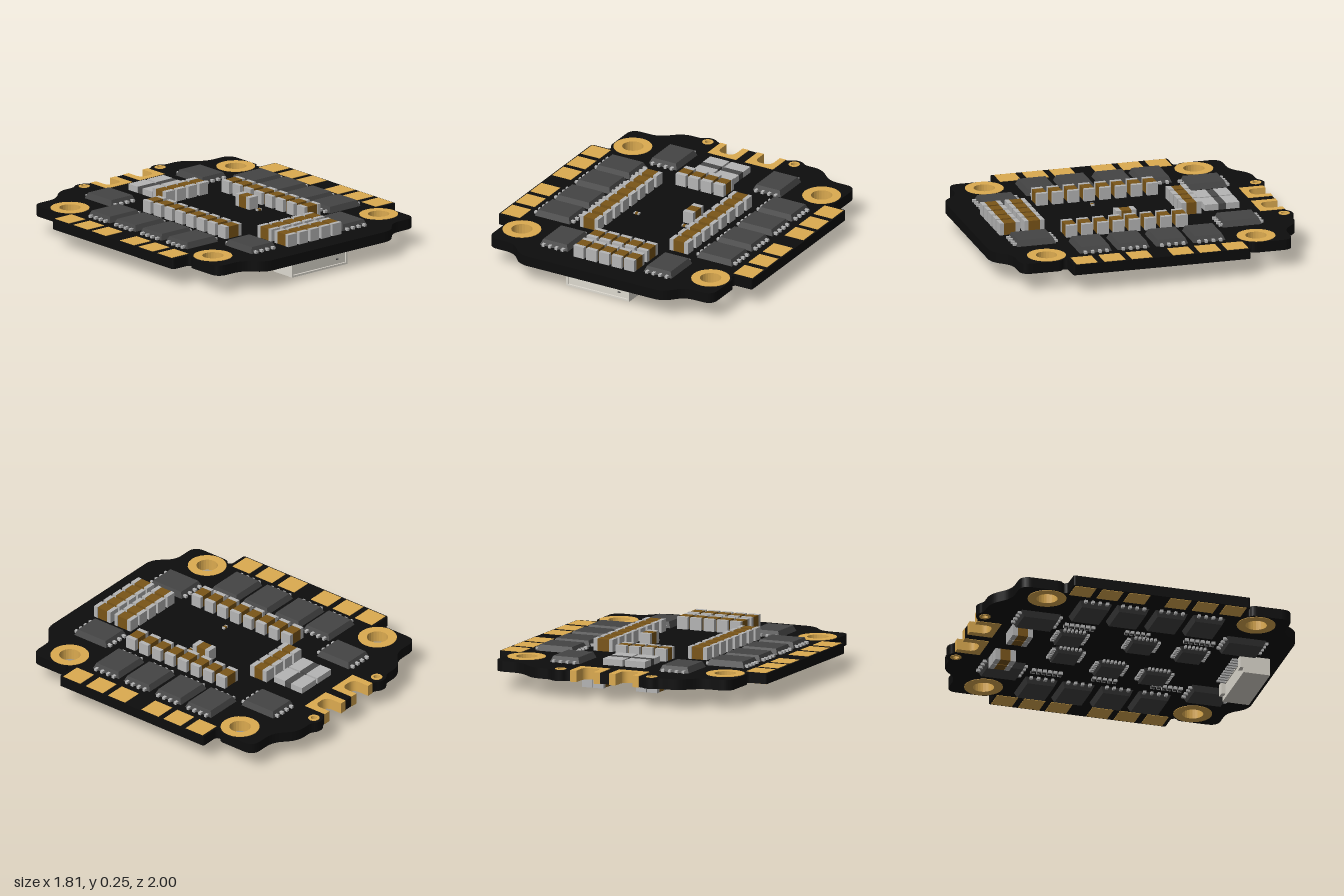
import * as THREE from 'three';

const mat = (color) => new THREE.MeshStandardMaterial({ color, flatShading: true });
const M = {
  board: mat(0x0d0d0d), gold: mat(0xdcab50), chip: mat(0x444444), dark: mat(0x4a4a4a),
  metal: mat(0xb5b5b5), brown: mat(0x7a5518), plastic: mat(0xdedad0),
};
const BOT = 0.112, TOP = 0.178;

function mesh(parent, name, geo, material, x = 0, y = 0, z = 0) {
  const m = new THREE.Mesh(geo, material);
  m.name = name;
  m.position.set(x, y, z);
  parent.add(m);
  return m;
}
const box = (parent, name, material, w, h, d, x, y, z) =>
  mesh(parent, name, new THREE.BoxGeometry(w, h, d), material, x, y, z);

// Closed outline from [x, z, cornerRadius] points
function rounded(points) {
  const s = new THREE.Shape(), n = points.length;
  const v = points.map(([x, z]) => new THREE.Vector2(x, -z));
  for (let i = 0; i < n; i++) {
    const p = v[i], r = points[i][2] || 0;
    const toward = (q) => p.clone().add(q.clone().sub(p).setLength(Math.min(r, p.distanceTo(q) * 0.5)));
    const a = r ? toward(v[(i + n - 1) % n]) : p, b = r ? toward(v[(i + 1) % n]) : p;
    if (i) s.lineTo(a.x, a.y); else s.moveTo(a.x, a.y);
    if (r) s.quadraticCurveTo(p.x, p.y, b.x, b.y);
  }
  s.closePath();
  return s;
}
function slab(shape, y0, y1) {
  const g = new THREE.ExtrudeGeometry(shape, { depth: y1 - y0, bevelEnabled: false, curveSegments: 12 });
  return g.rotateX(-Math.PI / 2).translate(0, y0, 0);
}
function circle(x, z, r, Type = THREE.Path) {
  const p = new Type();
  p.absarc(x, -z, r, 0, Math.PI * 2, false);
  return p;
}

// Parts below stand on local y = 0 of one board face
function capacitor(parent, x, z, w, d, h, alongX, middle = M.brown, endShare = 0.25) {
  const g = new THREE.Group();
  g.name = 'capacitor';
  const len = alongX ? w : d, wid = alongX ? d : w, e = len * endShare;
  box(g, 'capacitorBody', middle, len - 2 * e, h * 0.98, wid * 0.97, 0, h * 0.49, 0);
  for (const s of [-1, 1]) box(g, 'capacitorEnd', M.metal, e, h, wid, s * (len - e) / 2, h / 2, 0);
  g.position.set(x, 0, z);
  if (!alongX) g.rotation.y = Math.PI / 2;
  parent.add(g);
}

function chip(parent, x, z, w, d, { h = 0.037, pins = 4, pitch = 0.046, pinAxis = 'x', allSides = false } = {}) {
  const g = new THREE.Group();
  g.name = 'chip';
  const body = new THREE.BoxGeometry(w, h, d), p = body.attributes.position;
  // Draw the upper corners in for the moulded slope
  for (let i = 0; i < p.count; i++) if (p.getY(i) > 0) {
    p.setX(i, p.getX(i) - Math.sign(p.getX(i)) * 0.016);
    p.setZ(i, p.getZ(i) - Math.sign(p.getZ(i)) * 0.016);
  }
  body.computeVertexNormals();
  mesh(g, 'chipBody', body, M.chip, 0, h / 2, 0);
  for (const s of [-1, 1]) for (let i = 0; i < pins; i++) {
    const t = (i - (pins - 1) / 2) * pitch, pw = Math.min(0.018, pitch * 0.5);
    if (pinAxis === 'x' || allSides) box(g, 'pin', M.metal, 0.026, 0.016, pw, s * (w / 2 + 0.005), 0.008, t);
    if (pinAxis === 'z' || allSides) box(g, 'pin', M.metal, pw, 0.016, 0.026, t, 0.008, s * (d / 2 + 0.005));
  }
  g.position.set(x, 0, z);
  parent.add(g);
}

// Transistors and solder pads shared by both faces
function commonFace(face) {
  for (const s of [-1, 1]) {
    for (const z of [-0.35, -0.112, 0.135, 0.377]) chip(face, s * 0.578, z, 0.25, 0.205);
    for (const z of [-0.63, 0.688]) chip(face, s * 0.37, z, 0.2, 0.25, { pinAxis: 'z' });
    for (const z of [-0.475, -0.3, -0.127, 0.137, 0.312, 0.49])
      box(face, 'motorPad', M.gold, 0.134, 0.006, 0.134, s * 0.829, 0, z);
  }
}

export function createModel() {
  const root = new THREE.Group();
  root.name = 'circuitBoard';

  // Board with notched outline and holes
  const half = [
    [0.07, -0.97], [0.07, -0.85, 0.05], [0.195, -0.85, 0.05], [0.195, -0.97], [0.25, -0.97, 0.025],
    [0.285, -1, 0.03], [0.335, -1, 0.03], [0.37, -0.97, 0.025], [0.49, -0.97, 0.06], [0.61, -0.86, 0.06],
    [0.8, -0.86, 0.07], [0.8, -0.6, 0.03], [0.772, -0.585, 0.015], [0.785, -0.555, 0.015],
    [0.905, -0.555, 0.015], [0.905, 0.58, 0.015], [0.785, 0.58, 0.015], [0.772, 0.61, 0.015],
    [0.8, 0.625, 0.03], [0.8, 0.882, 0.07], [0.61, 0.882, 0.06], [0.51, 0.995, 0.06],
  ];
  const outline = rounded([...half, ...half.map(([x, z, r]) => [-x, z, r]).reverse()]);
  const rings = [];
  for (const s of [-1, 1]) rings.push(
    [s * 0.673, -0.657, 0.12, 0.066], [s * 0.673, 0.685, 0.12, 0.066], [s * 0.308, -0.945, 0.035, 0.019]);
  for (const [x, z, , r] of rings) outline.holes.push(circle(x, z, r + 0.004));
  mesh(root, 'board', slab(outline, BOT, TOP), M.board);

  // Plated holes
  for (const [x, z, outer, inner] of rings) {
    const ring = circle(x, z, outer, THREE.Shape);
    ring.holes.push(circle(x, z, inner));
    mesh(root, 'platedHole', slab(ring, BOT - 0.003, TOP + 0.003), M.gold);
  }

  // U-shaped power terminals at the back edge
  for (const s of [-1, 1]) {
    const u = [[0.03, -0.972], [0.03, -0.815], [0.233, -0.815], [0.233, -0.972], [0.19, -0.972],
      [0.19, -0.855, 0.05], [0.075, -0.855, 0.05], [0.075, -0.972]];
    mesh(root, 'powerTerminal', slab(rounded(u.map(([x, z, r]) => [s * x, z, r])), BOT - 0.003, TOP + 0.003), M.gold);
  }

  // Upper face
  const top = new THREE.Group();
  top.name = 'upperFace';
  top.position.y = TOP;
  root.add(top);
  commonFace(top);
  for (const s of [-1, 1])
    for (let i = 0; i < 8; i++) capacitor(top, s * 0.32, -0.27 + i * 0.101, 0.13, 0.07, 0.077, true, M.brown, 0.2);
  for (let i = 0; i < 4; i++) capacitor(top, -0.14 + i * 0.09, -0.393, 0.072, 0.128, 0.077, false);
  for (let i = 0; i < 5; i++)
    for (const z of [0.63, 0.788]) capacitor(top, -0.17 + i * 0.09, z, 0.072, 0.128, 0.077, false, M.brown, 0.21);
  capacitor(top, 0.165, 0.033, 0.07, 0.13, 0.077, false);
  for (const x of [-0.085, 0.065]) capacitor(top, x, -0.6, 0.135, 0.222, 0.04, false, M.dark, 0.39);
  for (const x of [-0.172, 0.168]) capacitor(top, x, 0.142, 0.036, 0.02, 0.012, true);

  // Lower face, turned over about the z axis
  const bottom = new THREE.Group();
  bottom.name = 'lowerFace';
  bottom.position.y = BOT;
  bottom.rotation.z = Math.PI;
  root.add(bottom);
  commonFace(bottom);
  for (const s of [-1, 1]) {
    for (const x of [0.145, 0.22]) capacitor(bottom, s * x, -0.685, 0.07, 0.13, 0.075, false);
    // Rows of small resistors
    for (const z0 of [-0.35, 0.42])
      for (let i = 0; i < 6; i++) capacitor(bottom, s * 0.345, z0 + (i - 2.5) * 0.034, 0.045, 0.024, 0.018, true, M.chip);
    for (let i = 0; i < 5; i++) capacitor(bottom, s * 0.35, 0.02 + (i - 2) * 0.034, 0.04, 0.022, 0.016, true, M.chip);
  }
  // Controllers and drivers
  for (const [x, z] of [[-0.18, 0], [-0.21, 0.3], [0.2, 0.09], [0.16, 0.42], [-0.07, -0.31], [0.18, -0.36]])
    chip(bottom, x, z, 0.18, 0.18, { h: 0.035, pins: 6, pitch: 0.025, allSides: true });

  // Cable connector under the front edge
  const plug = new THREE.Group();
  plug.name = 'connector';
  root.add(plug);
  box(plug, 'connectorCore', M.plastic, 0.43, 0.085, 0.155, 0, 0.055, 0.8225);
  box(plug, 'connectorFloor', M.plastic, 0.45, 0.012, 0.17, 0, 0.006, 0.825);
  box(plug, 'connectorRoof', M.plastic, 0.45, 0.014, 0.17, 0, 0.105, 0.825);
  for (const s of [-1, 1]) {
    box(plug, 'connectorWall', M.plastic, 0.012, 0.1, 0.17, s * 0.219, 0.06, 0.825);
    box(plug, 'connectorEar', M.plastic, 0.05, 0.08, 0.03, s * 0.2, 0.072, 0.735);
  }
  box(plug, 'connectorMark', M.dark, 0.018, 0.008, 0.004, 0.148, 0.043, 0.901);
  for (let i = 0; i < 10; i++) box(plug, 'connectorPin', M.metal, 0.014, 0.014, 0.06, (i - 4.5) * 0.036, 0.106, 0.715);

  return root;
}
